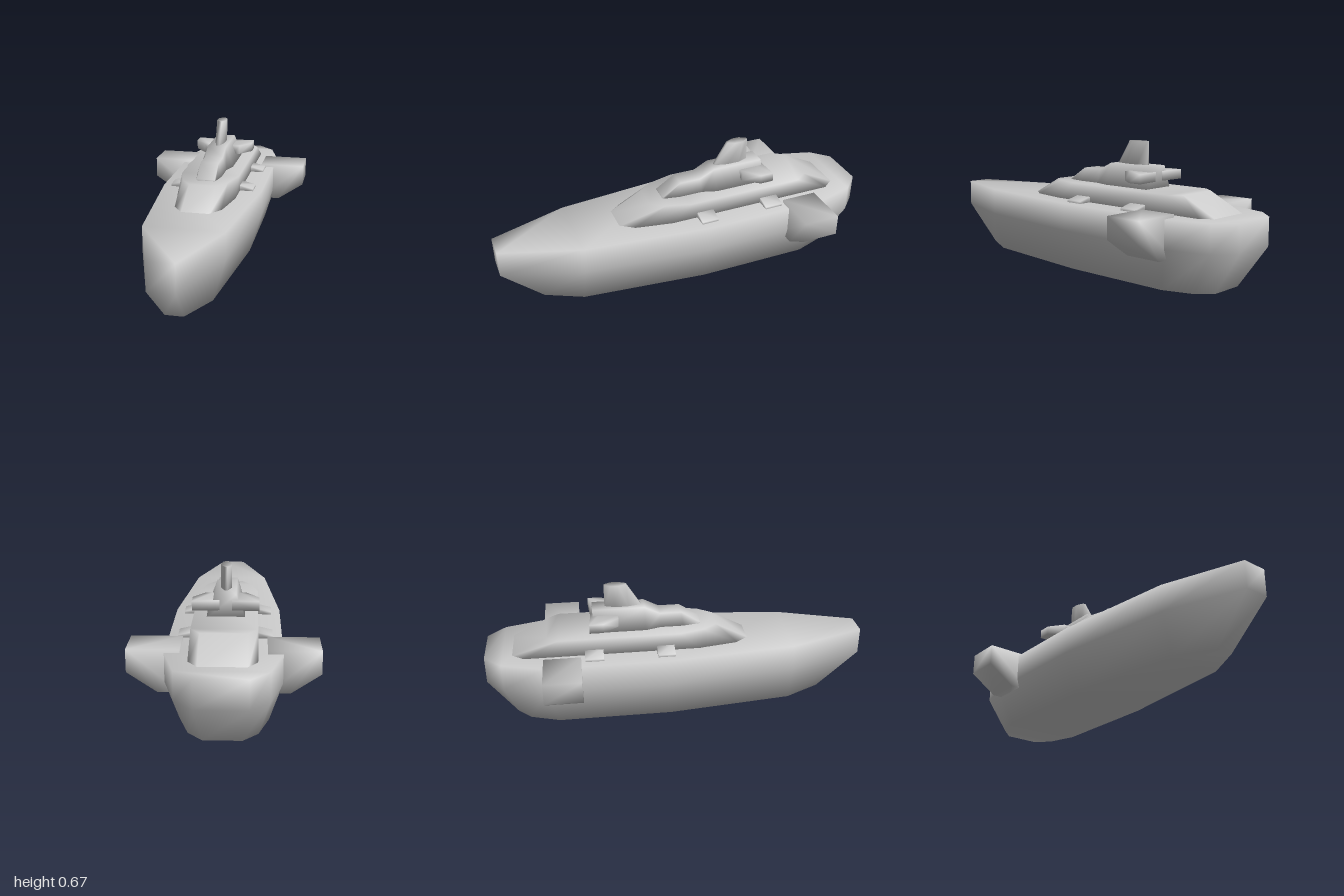
import * as THREE from 'three';

const material = new THREE.MeshStandardMaterial({ color: 0xcccccc });

// Smooth closed solid through rings of equal point count, capped at both ends.
function loft(name, rings) {
  const n = rings[0].length;
  const last = (rings.length - 1) * n;
  const p = rings.flat();
  const tris = [];
  for (let r = 0; r < last; r += n) {
    for (let i = 0; i < n; i++) {
      const a = r + i, b = r + (i + 1) % n;
      tris.push([a, a + n, b], [b, a + n, b + n]);
    }
  }
  for (let i = 0; i < n - 2 - i; i++) {
    tris.push([last + i, last + n - 1 - i, last + i + 1], [n - 1 - i, i, i + 1]);
  }
  for (let i = 0; i < n - 3 - i; i++) {
    tris.push([last + i + 1, last + n - 1 - i, last + n - 2 - i], [n - 1 - i, i + 1, n - 2 - i]);
  }
  // turn every face outward
  const v = p.map((q) => new THREE.Vector3(...q));
  const volume = tris.reduce((s, [a, b, c]) => s + v[a].dot(v[b].clone().cross(v[c])), 0);
  if (volume < 0) tris.forEach((t) => t.reverse());
  const geo = new THREE.BufferGeometry();
  geo.setAttribute('position', new THREE.Float32BufferAttribute(p.flat(), 3));
  geo.setIndex(tris.flat());
  geo.computeVertexNormals();
  const mesh = new THREE.Mesh(geo, material);
  mesh.name = name;
  return mesh;
}

// Full outline from its +x half, listed stern to bow as [x, z, optional y].
function outline(y, half) {
  const right = half.map(([x, z, h = y]) => [x, h, z]);
  return [...right, ...right.map(([x, h, z]) => [-x, h, z]).reverse()];
}

export function createModel() {
  const ship = new THREE.Group();
  ship.name = 'ship';

  // Hull: flared lower sides, upright upper sides
  const deck = [[0.12, -1], [0.21, -0.91], [0.27, -0.7], [0.27, -0.05], [0.2, 0.6], [0.065, 1]];
  const keel = [[0.09, -0.86], [0.16, -0.79], [0.21, -0.64], [0.21, -0.05], [0.14, 0.6], [0.045, 0.79]];
  ship.add(loft('hull', [outline(0, keel), outline(0.21, deck), outline(0.35, deck)]));

  // Long lower deckhouse
  ship.add(loft('deckhouse', [
    outline(0.34, [[0.11, -0.88], [0.155, -0.82], [0.155, 0.12], [0.12, 0.32], [0.07, 0.39]]),
    outline(0.44, [[0.11, -0.68], [0.155, -0.62], [0.155, 0.0], [0.12, 0.13], [0.07, 0.2]]),
  ]));

  // Stepped bridge
  ship.add(loft('bridge', [
    outline(0.43, [[0.095, -0.44], [0.095, -0.17], [0.07, -0.09], [0.07, 0.03], [0.053, 0.125]]),
    outline(0.55, [[0.05, -0.44], [0.05, -0.17], [0.048, -0.09, 0.51], [0.048, 0.02, 0.51], [0.048, 0.12, 0.445]]),
  ]));

  // Raked mast
  ship.add(loft('mast', [
    outline(0.54, [[0.006, -0.375], [0.026, -0.32], [0.026, -0.25], [0.008, -0.18]]),
    outline(0.668, [[0.006, -0.375], [0.026, -0.34], [0.026, -0.3], [0.008, -0.26]]),
  ]));

  for (const [side, s] of [['left', 1], ['right', -1]]) {
    // Bridge wing
    const wing = [[0.03, -0.45], [0.16, -0.46], [0.16, -0.39], [0.1, -0.31], [0.065, -0.31], [0.03, -0.4]];
    ship.add(loft(side + 'BridgeWing', [0.475, 0.522].map((y) => wing.map(([x, z]) => [s * x, y, z]))));

    // Side sponson
    const sponson = [[0.2, 0.365], [0.445, 0.365], [0.445, 0.255], [0.305, 0.16], [0.2, 0.16]];
    ship.add(loft(side + 'Sponson', [-0.7, -0.51].map((z) => sponson.map(([x, y]) => [s * x, y, z]))));

    // Small deck lockers
    const locker = [[0.14, 0.34], [0.14, 0.382], [0.225, 0.362], [0.225, 0.34]];
    [[-0.12, -0.03], [-0.49, -0.395]].forEach((ends, i) => {
      ship.add(loft(side + 'Locker' + (i + 1), ends.map((z) => locker.map(([x, y]) => [s * x, y, z]))));
    });
  }
  return ship;
}
